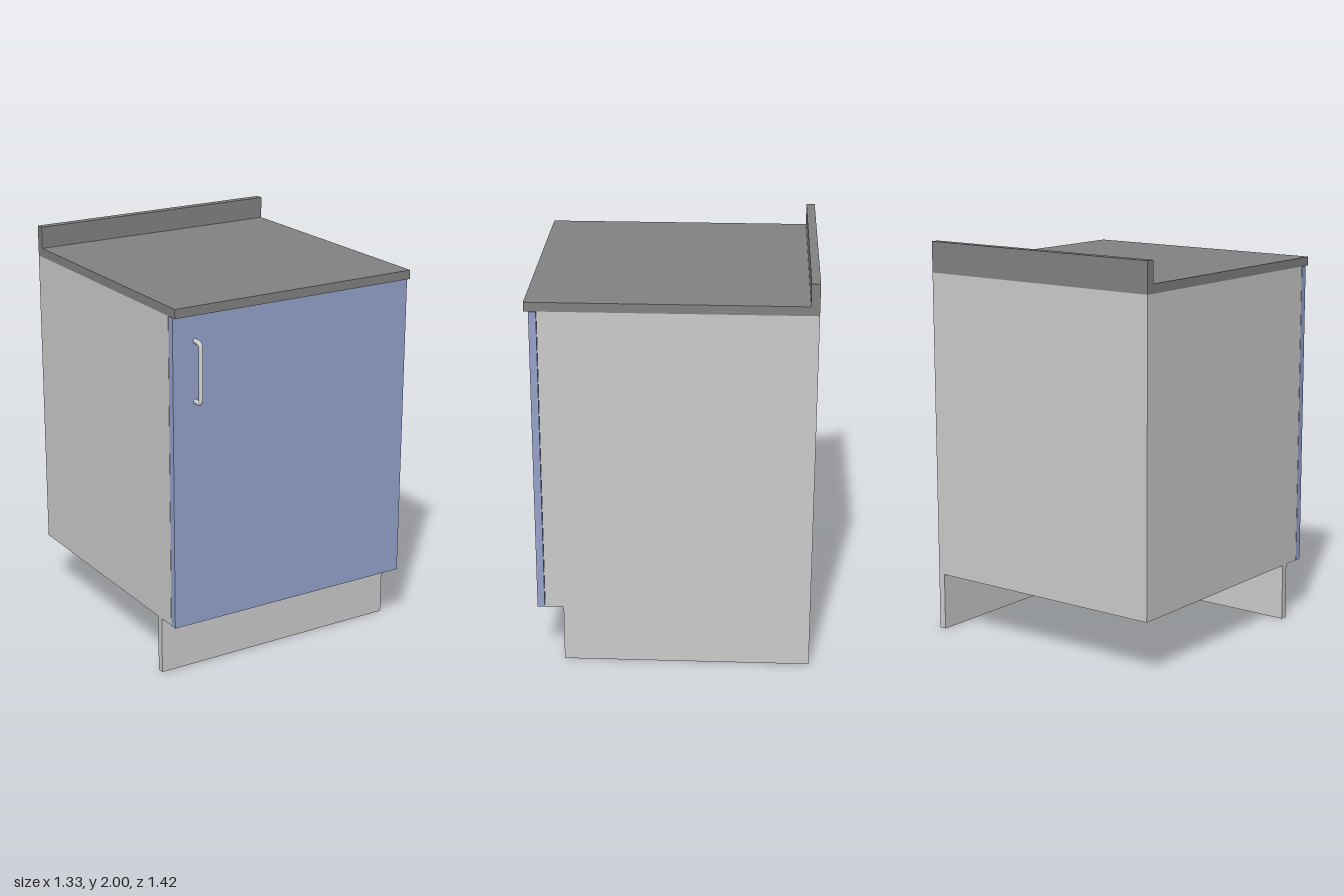
import * as THREE from 'three';

const grey = new THREE.MeshStandardMaterial({ color: 0xcccccc });
const blue = new THREE.MeshStandardMaterial({ color: 0x95a3cc });
const dark = new THREE.MeshStandardMaterial({ color: 0x828282 });
const steel = new THREE.MeshStandardMaterial({ color: 0xd0d5d6 });

const W = 0.665;      // half width
const BACK = -0.71;   // rear plane
const KICK = 0.29;    // height of the toe space
const TOP = 1.845;    // underside of the worktop
const PANEL = 0.035;  // board thickness

// Box given by its minimum and maximum corners
function board(name, material, [x0, y0, z0], [x1, y1, z1]) {
  const mesh = new THREE.Mesh(new THREE.BoxGeometry(x1 - x0, y1 - y0, z1 - z0), material);
  mesh.position.set((x0 + x1) / 2, (y0 + y1) / 2, (z0 + z1) / 2);
  mesh.name = name;
  return mesh;
}

// Profile drawn in (z, y), extruded along x from x0 to x1
function sideProfile(name, material, points, x0, x1) {
  const shape = new THREE.Shape(points.map(([z, y]) => new THREE.Vector2(-z, y)));
  const geometry = new THREE.ExtrudeGeometry(shape, { depth: x1 - x0, bevelEnabled: false });
  geometry.rotateY(Math.PI / 2);
  geometry.translate(x0, 0, 0);
  const mesh = new THREE.Mesh(geometry, material);
  mesh.name = name;
  return mesh;
}

// Bar handle with rounded corners and a slightly flattened section
function makeHandle() {
  const zIn = 0.635, zOut = 0.697, low = 1.425, high = 1.717, r = 0.028;
  const v = (y, z) => new THREE.Vector3(0, y, z);
  const path = new THREE.CurvePath();
  path.add(new THREE.LineCurve3(v(low, zIn), v(low, zOut - r)));
  path.add(new THREE.QuadraticBezierCurve3(v(low, zOut - r), v(low, zOut), v(low + r, zOut)));
  path.add(new THREE.LineCurve3(v(low + r, zOut), v(high - r, zOut)));
  path.add(new THREE.QuadraticBezierCurve3(v(high - r, zOut), v(high, zOut), v(high, zOut - r)));
  path.add(new THREE.LineCurve3(v(high, zOut - r), v(high, zIn)));
  const mesh = new THREE.Mesh(new THREE.TubeGeometry(path, 80, 0.013, 16), steel);
  mesh.scale.x = 0.72;
  mesh.position.x = -0.547;
  mesh.name = 'handle';
  return mesh;
}

export function createModel() {
  const model = new THREE.Group();
  model.name = 'baseCabinet';

  // Carcass, hanging above the toe space
  model.add(board('carcass', grey, [-W, KICK, BACK], [W - PANEL, TOP, 0.607]));

  // End panel reaching the floor, notched at the front
  model.add(sideProfile('endPanel', grey, [
    [BACK, 0], [BACK, TOP], [0.607, TOP], [0.607, KICK], [0.515, KICK], [0.515, 0],
  ], W - PANEL, W));

  // Recessed plinth
  model.add(board('plinth', grey, [-W, 0, 0.515 - PANEL], [W - PANEL, KICK, 0.515]));

  // Door and handle
  model.add(board('door', blue, [-W, KICK, 0.609], [W, TOP - 0.002, 0.645]));
  model.add(makeHandle());

  // Worktop with rear upstand in one profile
  model.add(sideProfile('worktop', dark, [
    [BACK, TOP], [BACK, 2], [-0.667, 2], [-0.667, 1.89], [0.667, 1.89], [0.667, TOP],
  ], -W, W));

  return model;
}
